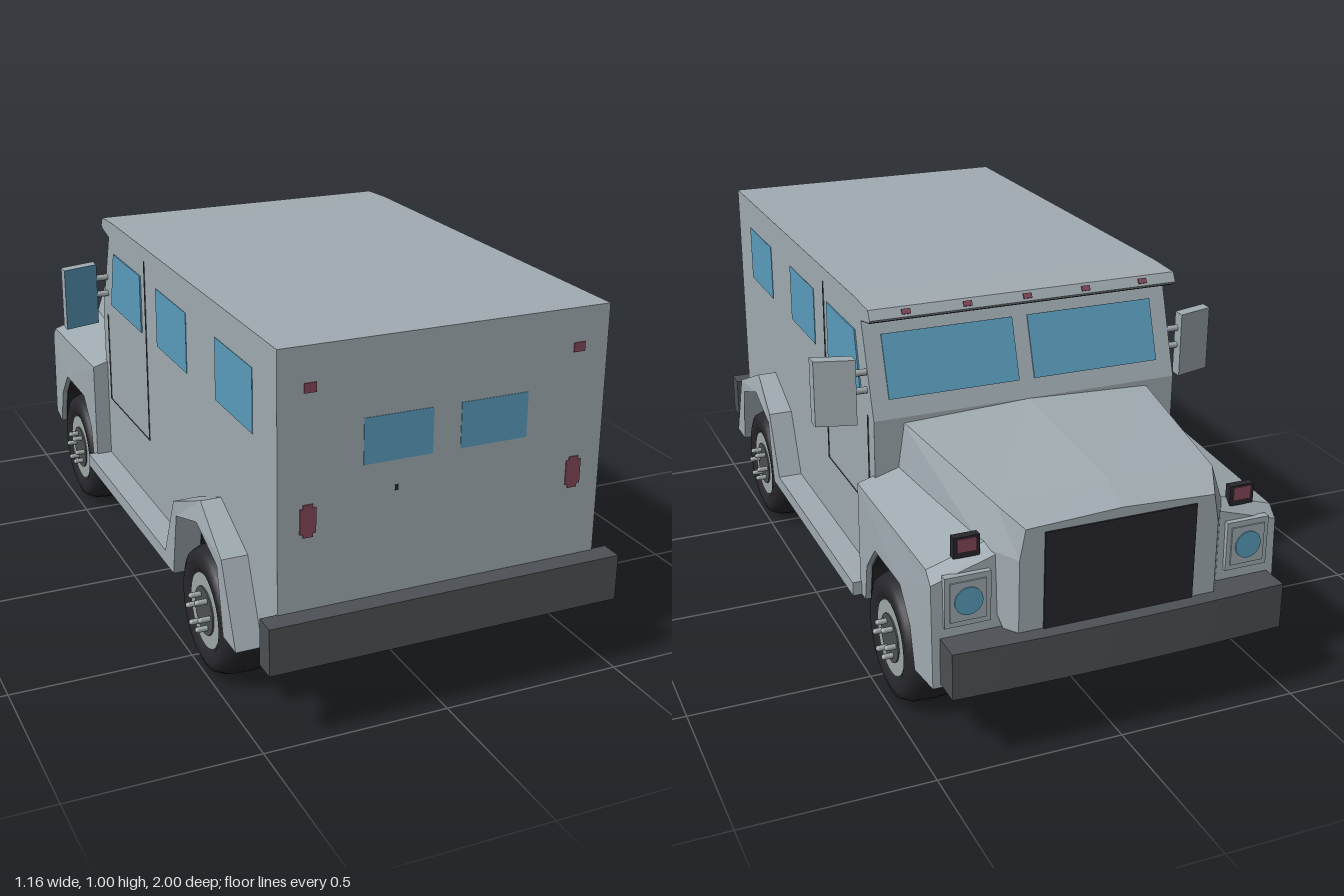
import * as THREE from 'three';

const paint = (name, color) => {
  const m = new THREE.MeshStandardMaterial({ color });
  m.name = name;
  return m;
};

export function createModel() {
  const root = new THREE.Group();
  root.name = 'armouredTruck';
  const body = paint('bodyGrey', 0xa0abb1);
  const bumper = paint('bumperGrey', 0x4d5054);
  const tyre = paint('tyreBlack', 0x27272d);
  const black = paint('underbodyBlack', 0x202023);
  const glass = paint('glassBlue', 0x5a9dbd);
  const red = paint('lampRed', 0x85475a);
  const rim = paint('rimGrey', 0x9ea7a7);

  const add = (name, geo, mat, x = 0, y = 0, z = 0, parent = root) => {
    const m = new THREE.Mesh(geo, mat);
    m.name = name;
    m.position.set(x, y, z);
    parent.add(m);
    return m;
  };
  const box = (name, mat, w, h, d, x, y, z, parent) =>
    add(name, new THREE.BoxGeometry(w, h, d), mat, x, y, z, parent);
  // side profile of [z, y] points, extruded across x from x0 to x1
  const profile = (pts, x0, x1) => {
    const s = new THREE.Shape(pts.map(p => new THREE.Vector2(p[0], p[1])));
    const g = new THREE.ExtrudeGeometry(s, { depth: x1 - x0, bevelEnabled: false });
    return g.translate(0, 0, -x1).rotateY(-Math.PI / 2);
  };
  const span = (s, a, b) => (s > 0 ? [a, b] : [-b, -a]);
  // moves each vertex by a rule
  const reshape = (geo, rule) => {
    const p = geo.attributes.position;
    const v = new THREE.Vector3();
    for (let i = 0; i < p.count; i++) {
      rule(v.fromBufferAttribute(p, i));
      p.setXYZ(i, v.x, v.y, v.z);
    }
    geo.computeVertexNormals();
    return geo;
  };

  // main armoured body with rear wheel arches
  const rearArch = [[0.765, 0.2], [0.728, 0.38], [0.58, 0.433], [0.43, 0.385], [0.395, 0.2]];
  add('body', profile([[-0.4, 0.2], [-0.405, 0.7], [-0.32, 0.95], [-0.382, 0.962], [-0.392, 0.97], [-0.378, 0.995],
    [-0.27, 1], [0.945, 1], [0.945, 0.2], ...rearArch], -0.44, 0.44), body);
  add('visorUnderside', profile([[-0.32, 0.951], [-0.382, 0.963], [-0.382, 0.96], [-0.321, 0.948]], -0.438, 0.438), tyre);

  // wheel arch linings and dark underbody
  const frontArch = [[-0.43, 0.2], [-0.45, 0.31], [-0.52, 0.39], [-0.71, 0.39], [-0.78, 0.31], [-0.81, 0.2]];
  const lining = (arch, cz) => [...arch, ...arch.map(([z, y]) => [cz + (z - cz) * 0.97, y === 0.2 ? y : y - 0.006]).reverse()];
  add('rearArchLining', profile(lining(rearArch, 0.58), -0.437, 0.437), tyre);
  add('frontArchLining', profile(lining(frontArch, -0.62), -0.47, 0.47), tyre);
  add('rearUnderbody', profile(rearArch, -0.29, 0.29), black);
  box('rearUnderPanel', black, 0.86, 0.008, 0.17, 0, 0.199, 0.86);
  box('engineUnderbody', black, 0.54, 0.24, 0.5, 0, 0.32, -0.65);

  // hood lofted from cross-sections: z, bottom, base half width, base y, edge half width, edge y, crown y
  const rings = [
    [-0.39, 0.45, 0.375, 0.565, 0.358, 0.685, 0.7],
    [-0.87, 0.45, 0.33, 0.54, 0.295, 0.645, 0.66],
    [-0.955, 0.25, 0.27, 0.53, 0.255, 0.61, 0.622],
  ].map(([z, bot, b, by, e, ey, cy]) =>
    [[b, bot], [b, by], [e, ey], [0, cy], [-e, ey], [-b, by], [-b, bot]].map(p => [p[0], p[1], z]));
  const tri = [];
  const n = rings[0].length;
  for (let i = 0; i < rings.length - 1; i++) {
    for (let j = 0; j < n; j++) {
      const k = (j + 1) % n;
      const a = rings[i][j], b = rings[i][k], c = rings[i + 1][k], d = rings[i + 1][j];
      tri.push(...a, ...d, ...b, ...b, ...d, ...c);
    }
  }
  const end = rings[rings.length - 1];
  for (let j = 1; j < n - 1; j++) tri.push(...end[0], ...end[j + 1], ...end[j]);
  const hood = new THREE.BufferGeometry();
  hood.setAttribute('position', new THREE.Float32BufferAttribute(tri, 3));
  hood.computeVertexNormals();
  add('hood', hood, body);
  box('grille', tyre, 0.41, 0.26, 0.008, 0, 0.465, -0.956);

  // bumpers, the front one slightly bowed
  box('rearBumper', bumper, 0.968, 0.125, 0.06, 0, 0.2725, 0.97);
  const bow = reshape(new THREE.BoxGeometry(0.91, 0.125, 0.08, 8, 1, 1), v => {
    if (v.z < 0) v.z = -0.04 - 0.012 * (1 - (v.x / 0.455) ** 2);
  });
  add('frontBumper', bow, bumper, 0, 0.2725, -0.948);

  // wheel: tyre, rim, hub and bolts, the same on both faces
  const tyreGeo = new THREE.LatheGeometry([[0.098, -0.078], [0.115, -0.09], [0.14, -0.0925], [0.16, -0.084],
    [0.172, -0.055], [0.176, 0], [0.172, 0.055], [0.16, 0.084], [0.14, 0.0925], [0.115, 0.09], [0.098, 0.078]]
    .map(p => new THREE.Vector2(...p)), 32).rotateZ(Math.PI / 2);
  const rod = (r, l, seg) => new THREE.CylinderGeometry(r, r, l, seg).rotateZ(Math.PI / 2);
  const boltGeo = new THREE.CapsuleGeometry(0.008, 0.224, 4, 8).rotateZ(Math.PI / 2);
  const wheel = (name, x, z, widthScale) => {
    const w = new THREE.Group();
    w.name = name;
    w.position.set(x, 0.179, z);
    w.scale.x = widthScale;
    add('tyre', tyreGeo, tyre, 0, 0, 0, w);
    add('rim', rod(0.102, 0.166, 32), rim, 0, 0, 0, w);
    add('hub', rod(0.066, 0.174, 24), bumper, 0, 0, 0, w);
    for (let i = 0; i < 6; i++) {
      const a = (i * Math.PI) / 3;
      add('wheelBolt', boltGeo, rim, 0, 0.045 * Math.sin(a), 0.045 * Math.cos(a), w);
    }
    root.add(w);
  };

  const doorWindow = [[-0.025, 0.91], [-0.27, 0.91], [-0.31, 0.745], [-0.025, 0.745]];
  [1, -1].forEach(s => {
    wheel('rearWheel', s * 0.408, 0.585, 1);
    wheel('frontWheel', s * 0.401, -0.61, 0.92);

    // front fender, its top falling away towards the outside
    const fender = profile([[-0.39, 0.2], [-0.39, 0.6], [-0.87, 0.58], [-0.9, 0.55], [-0.91, 0.2],
      ...frontArch.slice().reverse()], ...span(s, 0.24, 0.485));
    reshape(fender, v => {
      if (Math.abs(v.x) < 0.4) return;
      if (v.y > 0.5) v.y -= 0.073;
      if (v.z < -0.85) v.x = s * 0.475;
    });
    add('frontFender', fender, body);

    // rear wheel flare running into the side step, leaning in at the top
    const flare = profile([[0.85, 0.2], [0.76, 0.41], [0.58, 0.49], [0.41, 0.42], [0.33, 0.24], [-0.4, 0.24],
      [-0.4, 0.2], ...rearArch.slice().reverse()], ...span(s, 0.43, 0.51));
    reshape(flare, v => {
      if (Math.abs(v.x) > 0.5 && v.y > 0.425) v.x = s * (0.51 - (v.y - 0.425) * 0.22);
    });
    add('rearFlareAndStep', flare, body);

    // side windows and door
    [[0.6775, 0.245], [0.225, 0.24]].forEach(([z, d]) =>
      box('sideWindow', glass, 0.004, 0.165, d, s * 0.4395, 0.8275, z));
    add('doorWindow', profile(doorWindow, ...span(s, 0.438, 0.444)), glass);
    box('doorSeam', bumper, 0.004, 0.53, 0.005, s * 0.44, 0.695, 0.01);
    box('doorSeam', bumper, 0.004, 0.27, 0.005, s * 0.44, 0.565, -0.357);
    box('doorSeam', bumper, 0.003, 0.003, 0.367, s * 0.44, 0.43, -0.174);

    // door mirror on two arms, slanted forward towards the body
    const mirror = new THREE.Group();
    mirror.name = 'doorMirror';
    mirror.position.set(s * 0.528, 0.775, -0.345);
    const slanted = depth => reshape(new THREE.BoxGeometry(0.105, 0.18, depth), v => { v.z += s * v.x * 0.28; });
    add('mirrorHousing', slanted(0.034), body, 0, 0, 0, mirror);
    add('mirrorGlass', slanted(0.002), glass, 0, 0, 0.018, mirror);
    root.add(mirror);
    [0.82, 0.77].forEach(y => add('mirrorArm', rod(0.009, 0.07, 10), rim, s * 0.455, y, -0.352));

    // windscreen pane, lying on the sloped cab front
    const pane = box('windscreen', glass, 0.37, 0.172, 0.006, s * 0.207, 0.83, -0.3615);
    pane.rotation.x = 0.328;

    // headlamp and marker lamp
    box('headlampBezel', body, 0.12, 0.135, 0.02, s * 0.385, 0.43, -0.905);
    box('headlampPlate', body, 0.095, 0.105, 0.006, s * 0.385, 0.43, -0.916);
    add('headlamp', new THREE.CylinderGeometry(0.037, 0.037, 0.008, 24).rotateX(Math.PI / 2), glass, s * 0.385, 0.43, -0.918);
    box('markerHousing', tyre, 0.068, 0.055, 0.022, s * 0.377, 0.557, -0.876);
    box('markerLamp', red, 0.05, 0.036, 0.004, s * 0.377, 0.562, -0.888);

    // rear windows and lamps
    box('rearWindow', glass, 0.183, 0.118, 0.004, s * 0.129, 0.744, 0.9445);
    box('tailLamp', red, 0.042, 0.065, 0.006, s * 0.363, 0.568, 0.945);
    box('tailLampCore', red, 0.026, 0.084, 0.006, s * 0.363, 0.568, 0.945);
    box('upperRearLamp', red, 0.031, 0.024, 0.006, s * 0.358, 0.899, 0.945);
  });

  // marker lamps on the sloped visor edge, and the rear door lock
  for (let i = -2; i <= 2; i++) {
    const lamp = box('roofMarkerLamp', red, 0.024, 0.014, 0.008, i * 0.17, 0.982, -0.385);
    lamp.rotation.x = 0.51;
  }
  box('rearLock', tyre, 0.009, 0.014, 0.004, -0.132, 0.613, 0.945);

  return root;
}
